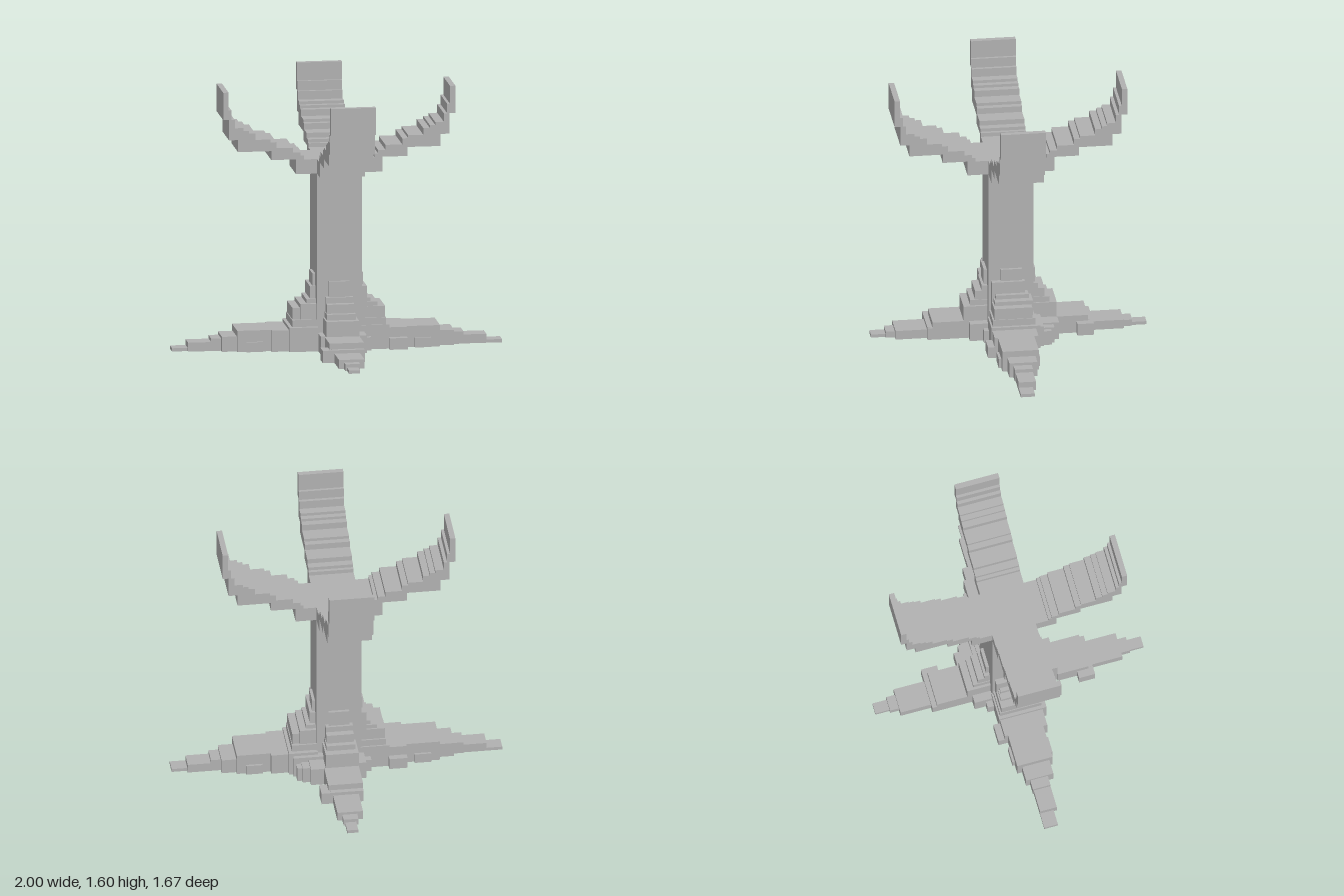
import * as THREE from 'three';

const stone = new THREE.MeshStandardMaterial({ color: 0xb0b0b0 });
stone.name = 'plain grey';

// Axis-aligned block from its limits
function block(name, x0, x1, y0, y1, z0, z1) {
  const mesh = new THREE.Mesh(new THREE.BoxGeometry(x1 - x0, y1 - y0, z1 - z0), stone);
  mesh.position.set((x0 + x1) / 2, (y0 + y1) / 2, (z0 + z1) / 2);
  mesh.name = name;
  return mesh;
}

// Stepped arm profile: [distance from axis, height] of each step
const LOWER = [[0.263, 1.087], [0.413, 1.178], [0.615, 1.233], [0.67, 1.307], [0.705, 1.432]];
const UPPER = [[0.214, 1.176], [0.235, 1.2], [0.28, 1.22], [0.382, 1.25], [0.418, 1.287], [0.51, 1.305],
  [0.55, 1.345], [0.583, 1.362], [0.635, 1.38], [0.655, 1.432], [0.672, 1.49], [0.705, 1.6]];
const HALF = 0.136;

function armGeometry() {
  const s = new THREE.Shape();
  s.moveTo(HALF, LOWER[0][1]);
  LOWER.forEach(([r, y], i) => {
    s.lineTo(r, y);
    if (i + 1 < LOWER.length) s.lineTo(r, LOWER[i + 1][1]);
  });
  for (let i = UPPER.length - 1; i >= 0; i--) {
    s.lineTo(UPPER[i][0], UPPER[i][1]);
    s.lineTo(i ? UPPER[i - 1][0] : HALF, UPPER[i][1]);
  }
  const g = new THREE.ExtrudeGeometry(s, { depth: HALF * 2, bevelEnabled: false });
  return g.translate(0, 0, -HALF);
}

// Root steps: [start, end, height, side from, side to]
const LONG_ROOT = [
  [0.13, 0.153, 0.46, -0.065, 0.065], [0.13, 0.17, 0.385, -0.08, 0.12],
  [0.13, 0.195, 0.31, -0.1, 0.1], [0.13, 0.235, 0.285, -0.12, 0.11],
  [0.13, 0.28, 0.26, -0.11, 0.12], [0.13, 0.285, 0.19, -0.13, 0.13],
  [0.13, 0.305, 0.148, -0.155, 0.14], [0.3, 0.41, 0.13, -0.13, 0.135],
  [0.3, 0.41, 0.07, -0.13, 0.175], [0.41, 0.615, 0.13, -0.105, 0.115],
  [0.46, 0.56, 0.06, -0.12, 0.13], [0.615, 0.705, 0.092, -0.085, 0.085],
  [0.705, 0.765, 0.076, -0.05, 0.06], [0.765, 0.905, 0.055, -0.05, 0.055],
  [0.905, 1.0, 0.02, -0.03, 0.055],
];
const SHORT_ROOT = [
  [0.13, 0.155, 0.425, -0.065, 0.06], [0.13, 0.17, 0.33, -0.085, 0.08],
  [0.13, 0.21, 0.295, -0.085, 0.08], [0.13, 0.24, 0.24, -0.09, 0.085],
  [0.13, 0.282, 0.205, -0.1, 0.1], [0.13, 0.25, 0.11, -0.13, 0.15],
  [0.28, 0.47, 0.112, -0.11, 0.1], [0.4, 0.5, 0.075, -0.155, 0.1],
  [0.47, 0.5, 0.076, -0.1, 0.09], [0.5, 0.69, 0.056, -0.085, 0.07],
  [0.69, 0.745, 0.04, -0.055, 0.035], [0.745, 0.833, 0.02, -0.045, 0.022],
];

export function createModel() {
  const model = new THREE.Group();
  model.name = 'branching pillar';

  // Square trunk
  model.add(block('trunk', -HALF, HALF, 0, 1.176, -HALF, HALF));

  // Four identical stepped arms
  const arm = armGeometry();
  ['leftArm', 'backArm', 'rightArm', 'frontArm'].forEach((name, i) => {
    const mesh = new THREE.Mesh(arm, stone);
    mesh.name = name;
    mesh.rotation.y = i * Math.PI / 2;
    model.add(mesh);
  });

  // Opposite roots repeat by a half turn
  for (const half of [0, 1]) {
    const long = new THREE.Group();
    long.name = half ? 'rightRoot' : 'leftRoot';
    for (const [a, b, h, c, d] of LONG_ROOT) long.add(block('rootStep', a, b, 0, h, c, d));
    const short = new THREE.Group();
    short.name = half ? 'backRoot' : 'frontRoot';
    for (const [a, b, h, c, d] of SHORT_ROOT) short.add(block('rootStep', c, d, 0, h, a, b));
    long.rotation.y = short.rotation.y = half * Math.PI;
    model.add(long, short);
  }

  // Low lumps between the roots
  const lumps = [
    [0.1, 0.19, 0.11, -0.285, -0.1], [0.1, 0.235, 0.1, -0.25, -0.1],
    [0.1, 0.265, 0.09, -0.23, -0.1], [0.1, 0.28, 0.13, -0.18, -0.1],
    [0.1, 0.19, 0.08, 0.1, 0.17], [-0.19, -0.1, 0.08, -0.18, -0.1],
  ];
  for (const [a, b, h, c, d] of lumps) model.add(block('rootLump', a, b, 0, h, c, d));

  return model;
}
